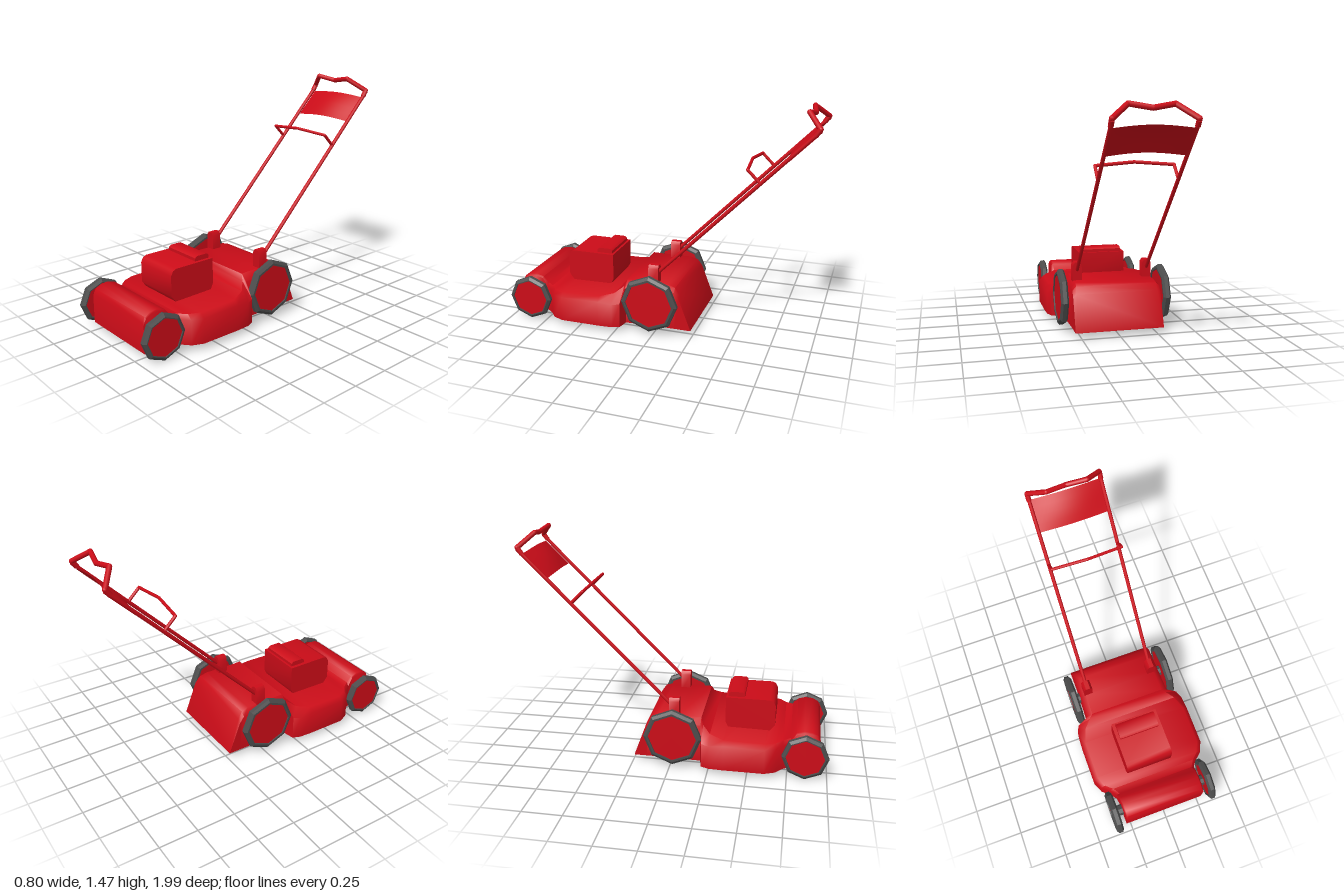
import * as THREE from 'three';
import { toCreasedNormals } from 'three/addons/utils/BufferGeometryUtils.js';

const red = new THREE.MeshStandardMaterial({ color: 0xcc0c18 });
const redThin = new THREE.MeshStandardMaterial({ color: 0xcc0c18, side: THREE.DoubleSide });
const grey = new THREE.MeshStandardMaterial({ color: 0x4c4c4c, flatShading: true });
const V = (x, y, z) => new THREE.Vector3(x, y, z);

function add(parent, name, geometry, material, x = 0, y = 0, z = 0) {
  const mesh = new THREE.Mesh(geometry, material);
  mesh.name = name;
  mesh.position.set(x, y, z);
  parent.add(mesh);
  return mesh;
}

// Skin over sections [z, half width, height, corner size], front to back
function deckGeometry(sections, base) {
  const pos = [], index = [], n = 6;
  for (const [z, w, h, c] of sections) {
    const ring = [[-w, base], [-w, h - c], [-w + c, h], [w - c, h], [w, h - c], [w, base]];
    for (const [x, y] of ring) pos.push(x, y, z);
  }
  const last = (sections.length - 1) * n;
  for (let s = 0; s < last; s += n) {
    for (let i = 0; i < n; i++) {
      const a = s + i, b = s + (i + 1) % n;
      index.push(a, b, a + n, b, b + n, a + n);
    }
  }
  for (let k = 1; k < n - 1; k++) {
    index.push(0, k + 1, k, last, last + k, last + k + 1);
  }
  const g = new THREE.BufferGeometry();
  g.setAttribute('position', new THREE.Float32BufferAttribute(pos, 3));
  g.setIndex(index);
  return toCreasedNormals(g, 0.9);
}

// Chain of straight rods with ball joints at the bends
function rods(parent, name, points, r) {
  const group = new THREE.Group();
  group.name = name;
  points.forEach((p, i) => {
    if (i > 0) {
      const dir = p.clone().sub(points[i - 1]);
      const mid = p.clone().add(points[i - 1]).multiplyScalar(0.5);
      const rod = add(group, name + 'Rod', new THREE.CylinderGeometry(r, r, dir.length(), 8), red, mid.x, mid.y, mid.z);
      rod.quaternion.setFromUnitVectors(V(0, 1, 0), dir.normalize());
    }
    if (i > 0 && i < points.length - 1) add(group, name + 'Bend', new THREE.SphereGeometry(r, 8, 6), red, p.x, p.y, p.z);
  });
  parent.add(group);
}

// Eight-sided tyre, hub and stub axle
function wheel(parent, name, side, y, z, r, inner) {
  const group = new THREE.Group();
  group.name = name;
  const t = 0.025, ri = r * 0.83;
  const profile = [[ri, -t], [r - 0.018, -t], [r, -t * 0.5], [r, t * 0.5], [r - 0.018, t], [ri, t], [ri, -t]]
    .map(([a, b]) => new THREE.Vector2(a, b));
  const tyre = new THREE.LatheGeometry(profile, 8).rotateZ(Math.PI / 2);
  const hub = new THREE.CylinderGeometry(ri, ri, 2 * t - 0.016, 8).rotateZ(Math.PI / 2);
  add(group, 'tyre', tyre, grey);
  add(group, 'hub', hub, red);
  const len = 0.32 - inner;
  add(group, 'axle', new THREE.CylinderGeometry(0.037, 0.037, len, 8).rotateZ(Math.PI / 2), grey,
    side * (inner + len / 2 - 0.34));
  group.position.set(side * 0.34, y, z);
  parent.add(group);
}

export function createModel() {
  const model = new THREE.Group();
  model.name = 'lawnMower';

  // Deck: front cover, wide cutting housing, raised sloping rear
  add(model, 'deck', deckGeometry([
    [0.95, 0.28, 0.23, 0.01],
    [0.935, 0.28, 0.265, 0.01],
    [0.90, 0.28, 0.285, 0.01],
    [0.85, 0.28, 0.29, 0.01],
    [0.80, 0.28, 0.275, 0.01],
    [0.765, 0.285, 0.235, 0.02],
    [0.72, 0.32, 0.23, 0.025],
    [0.68, 0.37, 0.23, 0.03],
    [0.61, 0.40, 0.23, 0.03],
    [0.35, 0.40, 0.235, 0.03],
    [0.26, 0.395, 0.255, 0.06],
    [0.21, 0.375, 0.29, 0.09],
    [0.195, 0.30, 0.33, 0.04],
    [0.05, 0.295, 0.33, 0.04],
    [-0.08, 0.29, 0.33, 0.03],
    [-0.13, 0.29, 0.315, 0.025],
    [-0.16, 0.29, 0.27, 0.02],
    [-0.24, 0.29, 0.046, 0.005],
  ], 0.04), red);

  // Engine housing, extruded across from its side outline
  const outline = new THREE.Shape([[-0.36, 0.23], [-0.34, 0.27], [-0.34, 0.44], [-0.62, 0.44], [-0.645, 0.43],
    [-0.66, 0.40], [-0.66, 0.27], [-0.63, 0.23]].map(([a, b]) => new THREE.Vector2(a, b)));
  const engine = new THREE.ExtrudeGeometry(outline, { depth: 0.32, bevelEnabled: false }).rotateY(Math.PI / 2);
  add(model, 'engine', toCreasedNormals(engine, 0.8), red, -0.17);
  const capShape = new THREE.Shape([[-0.355, 0.43], [-0.355, 0.46], [-0.37, 0.472], [-0.445, 0.472], [-0.46, 0.46],
    [-0.46, 0.43]].map(([a, b]) => new THREE.Vector2(a, b)));
  const cap = new THREE.ExtrudeGeometry(capShape, { depth: 0.275, bevelEnabled: false }).rotateY(Math.PI / 2);
  add(model, 'engineCap', toCreasedNormals(cap, 0.8), red, -0.147);

  // Wheels, handle mounts and side bars
  for (const s of [1, -1]) {
    const tag = s > 0 ? 'left' : 'right';
    wheel(model, tag + 'FrontWheel', s, 0.147, 0.86, 0.147, 0.27);
    wheel(model, tag + 'RearWheel', s, 0.215, 0.02, 0.188, 0.27);
    const mount = new THREE.Shape([[-0.03, 0.3], [0.03, 0.3], [0.03, 0.425], [0.015, 0.447], [-0.015, 0.447],
      [-0.03, 0.425]].map(([a, b]) => new THREE.Vector2(a, b)));
    const mountGeo = new THREE.ExtrudeGeometry(mount, { depth: 0.066, bevelEnabled: false });
    add(model, tag + 'HandleMount', toCreasedNormals(mountGeo, 0.8), red, s * 0.235, 0, -0.015);
    rods(model, tag + 'HandleBar', [V(s * 0.235, 0.38, 0.01), V(s * 0.235, 1.37, -0.975)], 0.012);
  }

  // Top grip and control bail
  const across = (ends) => [...ends, ...ends.slice(0, -1).reverse().map(p => V(-p.x, p.y, p.z))];
  rods(model, 'topGrip', across([V(0.235, 1.34, -0.945), V(0.235, 1.38, -0.972), V(0.13, 1.457, -0.893),
    V(0, 1.435, -0.915)]), 0.016);
  rods(model, 'controlBail', across([V(0.235, 1.035, -0.645), V(0.235, 1.115, -0.565), V(0, 1.132, -0.547)]), 0.01);

  // Control panel bowed towards the front
  const panel = new THREE.PlaneGeometry(0.46, 0.215, 16, 4);
  const p = panel.attributes.position;
  for (let i = 0; i < p.count; i++) {
    const taper = 1 - 0.3 * Math.pow(p.getY(i) / 0.1075, 2);
    p.setZ(i, 0.036 * Math.cos(Math.PI * p.getX(i) / 0.46) * taper);
  }
  panel.computeVertexNormals();
  add(model, 'controlPanel', panel, redThin, 0, 1.255, -0.88).rotation.x = -Math.PI / 4;

  return model;
}
